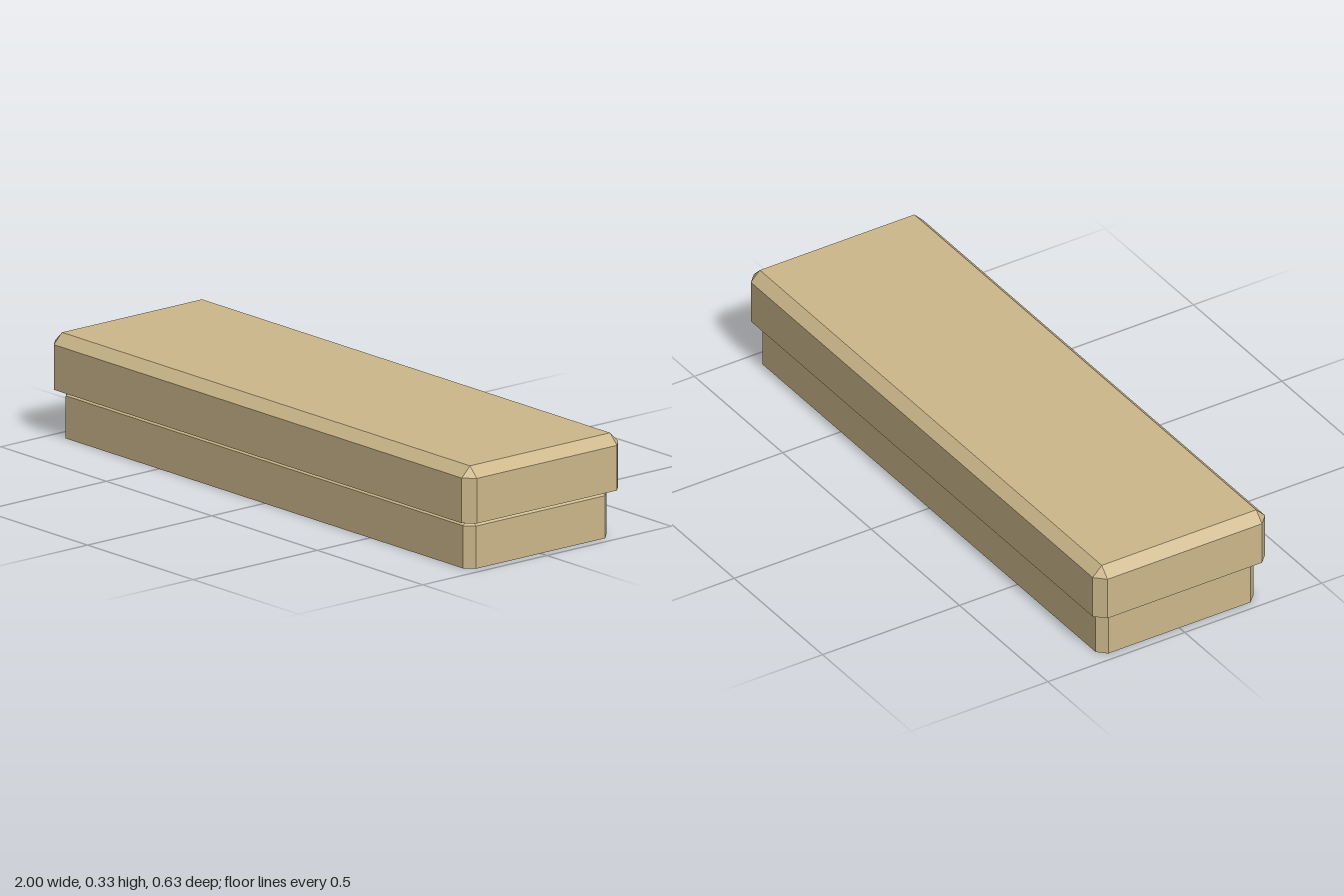
import * as THREE from 'three';

// Eight-sided ring: a rectangle with its corners cut by c
function ring(w, d, c, y) {
  const points = [];
  for (const [sx, sz] of [[1, 1], [1, -1], [-1, -1], [-1, 1]]) {
    const pair = [
      new THREE.Vector3(sx * (w - c), y, sz * d),
      new THREE.Vector3(sx * w, y, sz * (d - c)),
    ];
    points.push(...(sx * sz > 0 ? pair : pair.reverse()));
  }
  return points;
}

// Slab with cut vertical corners and a bevelled top edge; the bottom edge is sharp
function bevelledSlab(w, d, c, y0, y1) {
  const rings = [ring(w, d, c, y0), ring(w, d, c, y1 - c), ring(w - c, d - c, 0, y1)];
  const triangles = [];
  const add = (...corners) => {
    if (new THREE.Triangle(...corners).getArea() > 1e-8) triangles.push(...corners);
  };
  // Walls and bevel
  for (let r = 0; r < 2; r++) {
    for (let i = 0; i < 8; i++) {
      const j = (i + 1) % 8;
      add(rings[r][i], rings[r][j], rings[r + 1][j]);
      add(rings[r][i], rings[r + 1][j], rings[r + 1][i]);
    }
  }
  // Bottom and top caps
  for (let i = 1; i < 7; i++) {
    add(rings[0][0], rings[0][i + 1], rings[0][i]);
    add(rings[2][0], rings[2][i], rings[2][i + 1]);
  }
  const geometry = new THREE.BufferGeometry().setFromPoints(triangles);
  geometry.computeVertexNormals();
  return geometry;
}

export function createModel() {
  const group = new THREE.Group();
  group.name = 'steppedStoneSlab';
  const stone = new THREE.MeshStandardMaterial({ color: 0xcdb88c, flatShading: true });

  // Narrower base, its bevelled top set slightly into the upper slab
  const base = new THREE.Mesh(bevelledSlab(0.97, 0.288, 0.028, 0, 0.164), stone);
  base.name = 'baseSlab';

  // Wider overhanging slab
  const top = new THREE.Mesh(bevelledSlab(1, 0.315, 0.033, 0.155, 0.332), stone);
  top.name = 'topSlab';

  group.add(base, top);
  return group;
}
